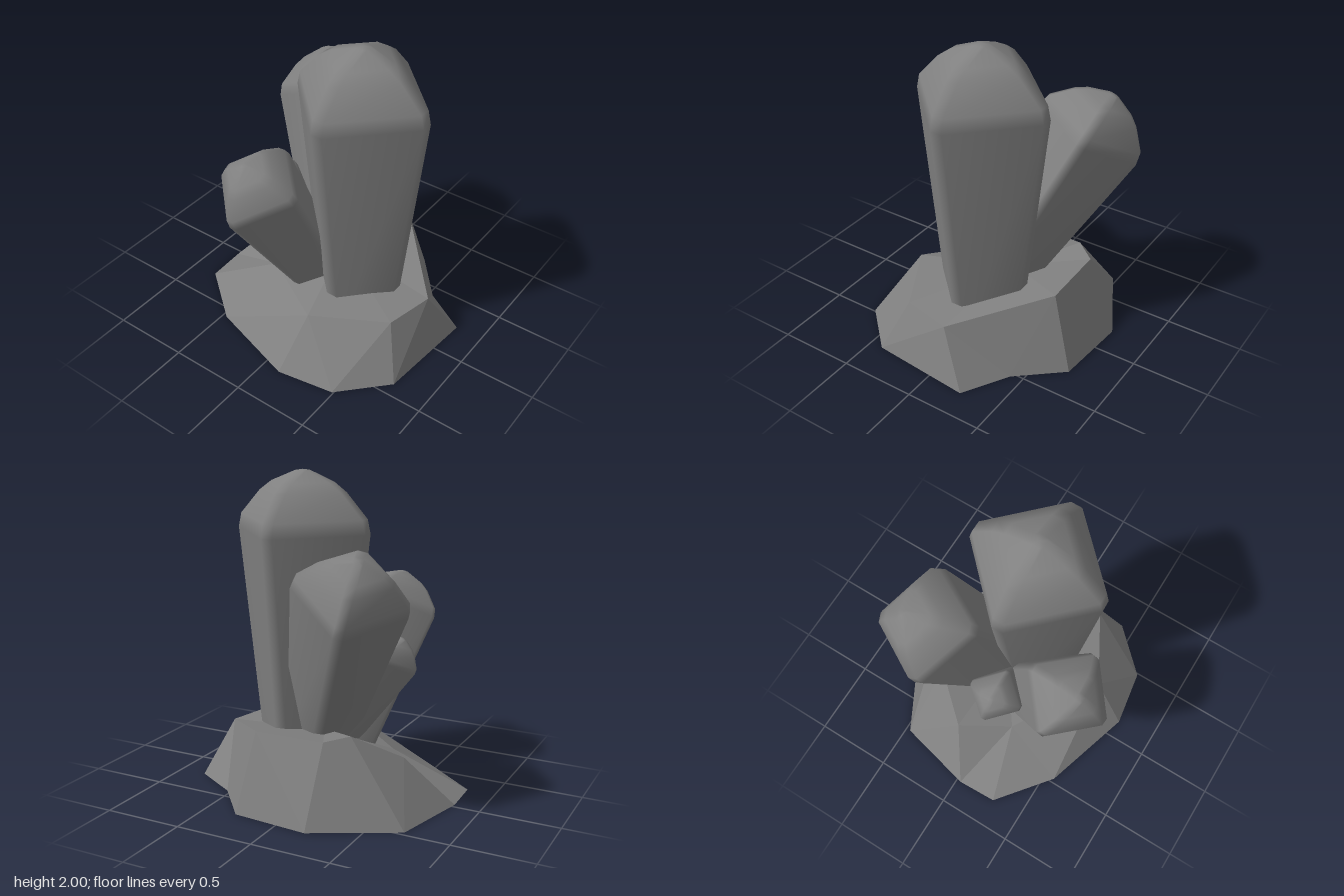
import * as THREE from 'three';

const stone = new THREE.MeshStandardMaterial({ color: 0x808080 });
stone.name = 'grey stone';

// Crystal outline as [height, radius], in units of the shoulder radius
const PROFILE = [[-3.5, 0.6], [0, 1], [0.2, 0.955], [0.545, 0.64], [0.68, 0.45], [0.83, 0.09]];

// Square crystal with chamfered corners, corners on the local x and z axes
function crystalGeometry() {
  const pos = [], index = [], n = 8;
  for (const [h, r] of PROFILE) {
    const w = Math.min(0.085, r * 0.6);
    for (let k = 0; k < 4; k++) {
      const c = Math.round(Math.cos(k * Math.PI / 2)), s = Math.round(Math.sin(k * Math.PI / 2));
      for (const side of [-w, w]) pos.push(c * r - s * side, h, s * r + c * side);
    }
  }
  for (let j = 0; j < PROFILE.length - 1; j++) {
    for (let i = 0; i < n; i++) {
      const a = j * n + i, b = j * n + (i + 1) % n;
      index.push(a, a + n, b, b, a + n, b + n);
    }
  }
  // tip
  const tip = pos.length / 3, last = tip - n;
  pos.push(0, 0.845, 0);
  for (let i = 0; i < n; i++) index.push(last + i, tip, last + (i + 1) % n);
  const g = new THREE.BufferGeometry();
  g.setAttribute('position', new THREE.Float32BufferAttribute(pos, 3));
  g.setIndex(index);
  g.computeVertexNormals();
  return g;
}

// Faceted rock: strip between the foot ring and the rim, plus top and underside
function rockGeometry() {
  const foot = [
    [0.25, 0.82], [-0.41, 0.76], [-0.69, 0.49], [-0.75, 0.12], [-0.57, -0.47], [-0.29, -0.82],
    [-0.03, -0.83], [0.47, -0.71], [0.74, -0.2], [0.7, 0.29], [0.42, 0.53],
  ].map(([x, z]) => [x, 0, z]);
  const rim = [
    [0.05, 0.34, 0.7], [-0.27, 0.34, 0.63], [-0.52, 0.34, 0.18], [-0.16, 0.24, -0.36],
    [0.14, 0.32, -0.56], [0.4, 0.5, -0.33], [0.54, 0.49, -0.22], [0.55, 0.49, 0.23],
  ];
  const pos = [];
  const tri = (a, b, c) => pos.push(...a, ...b, ...c);
  const F = (i) => foot[i % foot.length], R = (i) => rim[i % rim.length];
  // each letter advances one step along the foot (f) or the rim (r)
  let i = 0, j = 0;
  for (const step of 'frfrffrffrfrrfrffrf') {
    if (step === 'f') { tri(F(i + 1), F(i), R(j)); i++; }
    else { tri(F(i), R(j), R(j + 1)); j++; }
  }
  rim.forEach((p, k) => tri([0.1, 0.4, 0], R(k + 1), p));
  foot.forEach((p, k) => tri([0, 0, 0], p, F(k + 1)));
  const g = new THREE.BufferGeometry();
  g.setAttribute('position', new THREE.Float32BufferAttribute(pos, 3));
  g.computeVertexNormals();
  return g;
}

export function createModel() {
  const group = new THREE.Group();
  group.name = 'crystalCluster';

  const rock = new THREE.Mesh(rockGeometry(), stone);
  rock.name = 'rockBase';
  group.add(rock);

  // shoulder centre, growth axis, direction of one corner, shoulder radius
  const crystals = [
    ['mainCrystal', [0, 1.63, 0.2], [0, 1, 0], [1, 0, 0], 0.442],
    ['rightCrystal', [0.42, 1.32, -0.33], [0.36, 0.86, -0.355], [0.29, -0.15, -0.07], 0.345],
    ['leftCrystal', [-0.46, 1.1, -0.21], [-0.43, 0.88, -0.15], [-0.27, -0.13, 0], 0.29],
    ['smallCrystal', [-0.06, 0.87, -0.38], [-0.1, 0.85, -0.5], [0, -0.5, -0.86], 0.175],
  ];
  const geometry = crystalGeometry();
  for (const [name, centre, axis, corner, radius] of crystals) {
    const y = new THREE.Vector3(...axis).normalize();
    const z = new THREE.Vector3(...corner).cross(y).normalize();
    const x = new THREE.Vector3().crossVectors(y, z);
    const mesh = new THREE.Mesh(geometry, stone);
    mesh.name = name;
    mesh.quaternion.setFromRotationMatrix(new THREE.Matrix4().makeBasis(x, y, z));
    mesh.position.set(...centre);
    mesh.scale.setScalar(radius);
    group.add(mesh);
  }
  return group;
}
